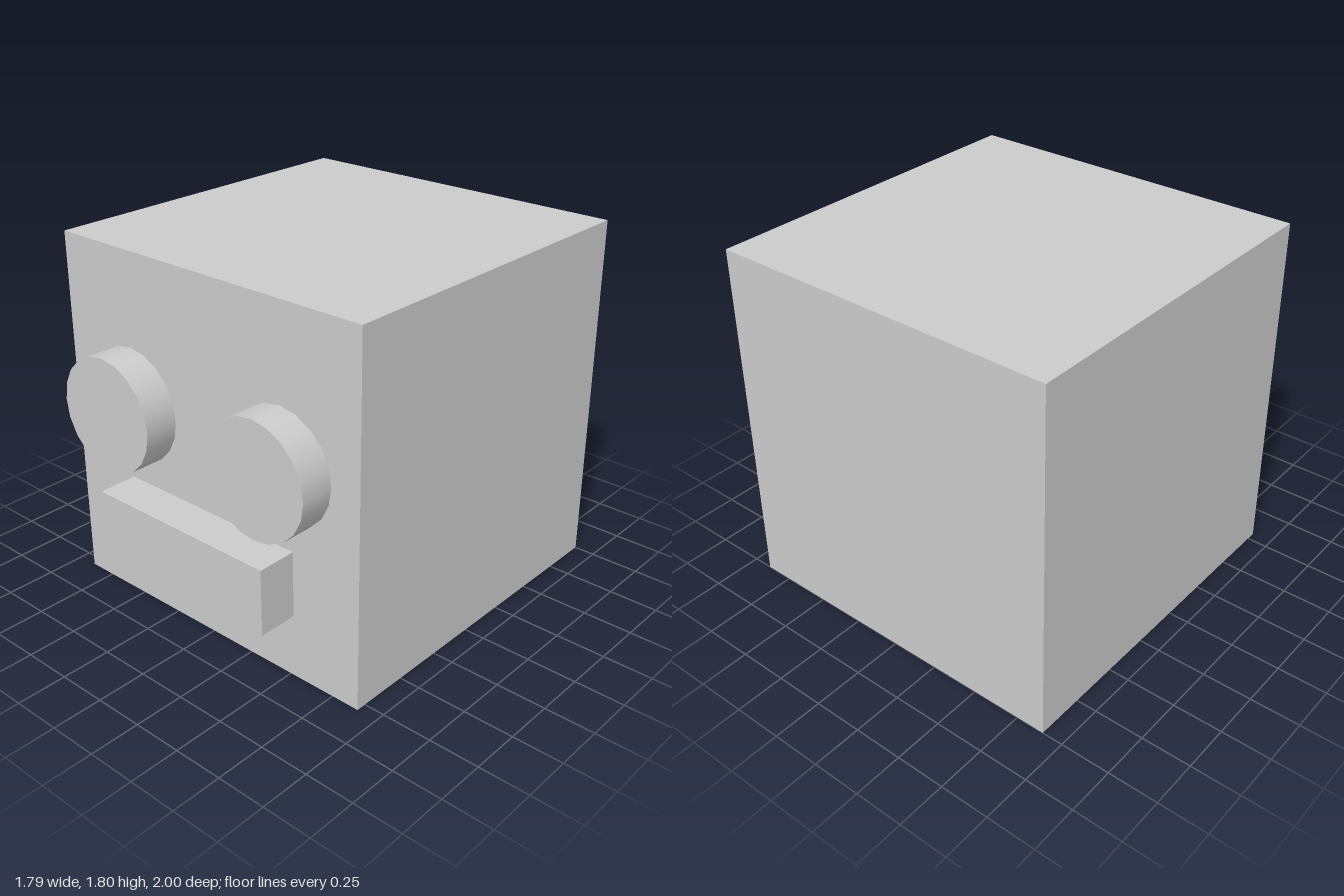
import * as THREE from 'three';

export function createModel() {
  const model = new THREE.Group();
  const material = new THREE.MeshStandardMaterial({ color: 0xcccccc });

  const add = (name, geometry, x, y, z) => {
    const mesh = new THREE.Mesh(geometry, material);
    mesh.name = name;
    mesh.position.set(x, y, z);
    model.add(mesh);
  };

  // Cube head, with its front face at z = 0.8
  add('head', new THREE.BoxGeometry(1.79, 1.8, 1.8), 0, 0.9, -0.1);

  // Round eyes standing out from the face
  const eye = new THREE.CylinderGeometry(0.285, 0.285, 0.17, 20).rotateX(Math.PI / 2);
  add('rightEye', eye, -0.48, 1.045, 0.885);
  add('leftEye', eye, 0.455, 1.045, 0.885);

  // Block mouth
  add('mouth', new THREE.BoxGeometry(1.04, 0.33, 0.2), 0, 0.485, 0.9);

  return model;
}
